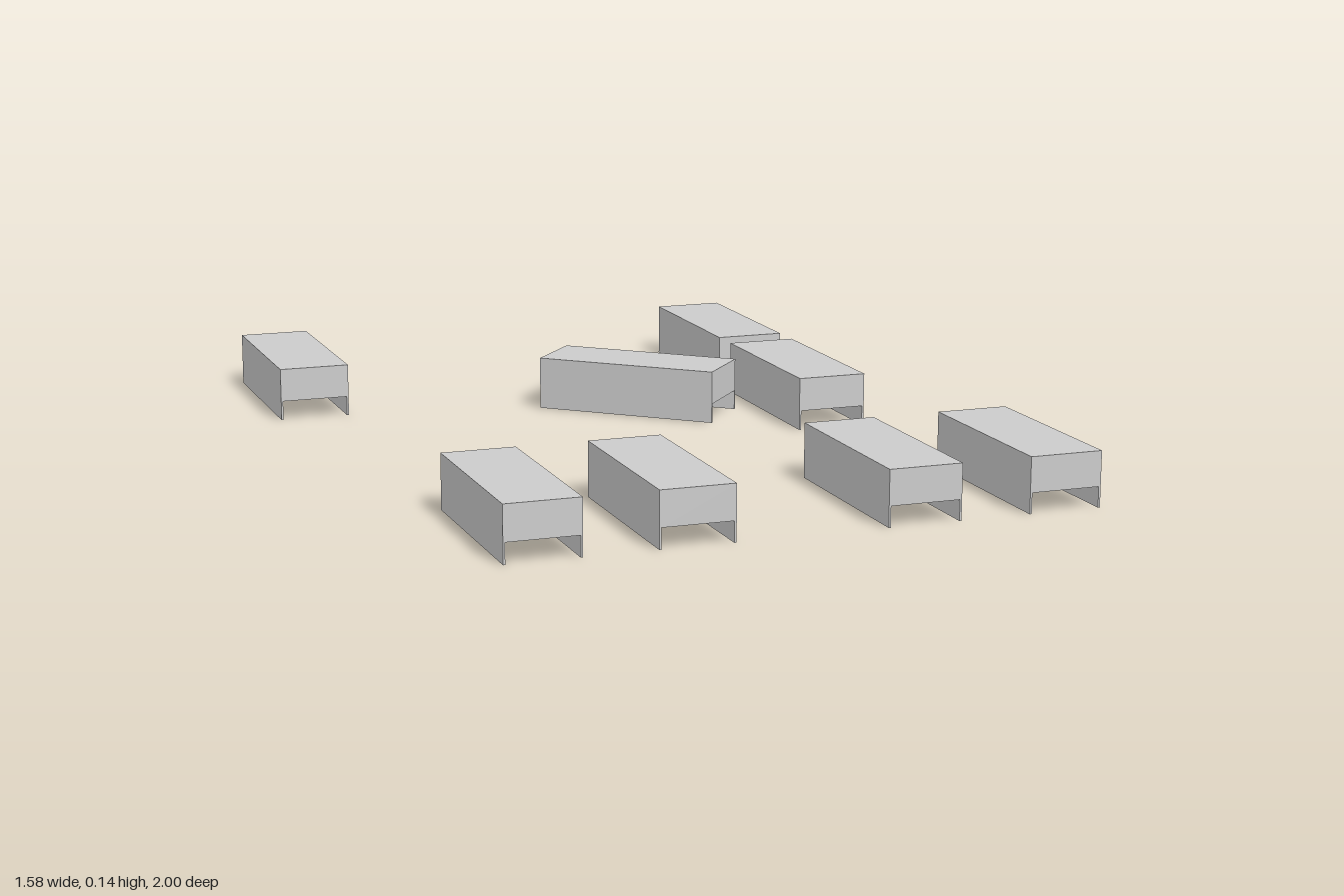
import * as THREE from 'three';

const WIDTH = 0.18, LENGTH = 0.485, HEIGHT = 0.135;
const CLEARANCE = 0.05; // open height under the solid block
const PANEL = 0.005;    // thickness of the side panels

// Channel cross-section: a deep block with a thin panel running down each long side
function benchGeometry() {
  const o = WIDTH / 2, i = o - PANEL;
  const profile = new THREE.Shape([
    [-o, 0], [-i, 0], [-i, CLEARANCE], [i, CLEARANCE],
    [i, 0], [o, 0], [o, HEIGHT], [-o, HEIGHT],
  ].map(([x, y]) => new THREE.Vector2(x, y)));
  const geometry = new THREE.ExtrudeGeometry(profile, { depth: LENGTH, bevelEnabled: false });
  geometry.translate(0, 0, -LENGTH / 2);
  return geometry;
}

export function createModel() {
  const model = new THREE.Group();
  model.name = 'benchArrangement';
  const geometry = benchGeometry();
  const material = new THREE.MeshStandardMaterial({ color: 0xcccccc, flatShading: true });

  function addBench(name, x, z, angle = 0) {
    const bench = new THREE.Mesh(geometry, material);
    bench.name = name;
    bench.position.set(x, 0, z);
    bench.rotation.y = angle;
    model.add(bench);
  }

  // Front row, in two pairs
  [-0.555, -0.2, 0.346, 0.698].forEach((x, n) => addBench(`frontBench${n + 1}`, x, 0.7575));

  // Two benches end to end on the left
  addBench('leftBackBench', 0.53, -0.7575);
  addBench('leftMiddleBench', 0.53, -0.191);

  // Lone bench in the back right corner
  addBench('rightBackBench', -0.7, -0.745);

  // Skewed bench in the middle
  addBench('skewedBench', 0.133, -0.325, 0.852);

  return model;
}
